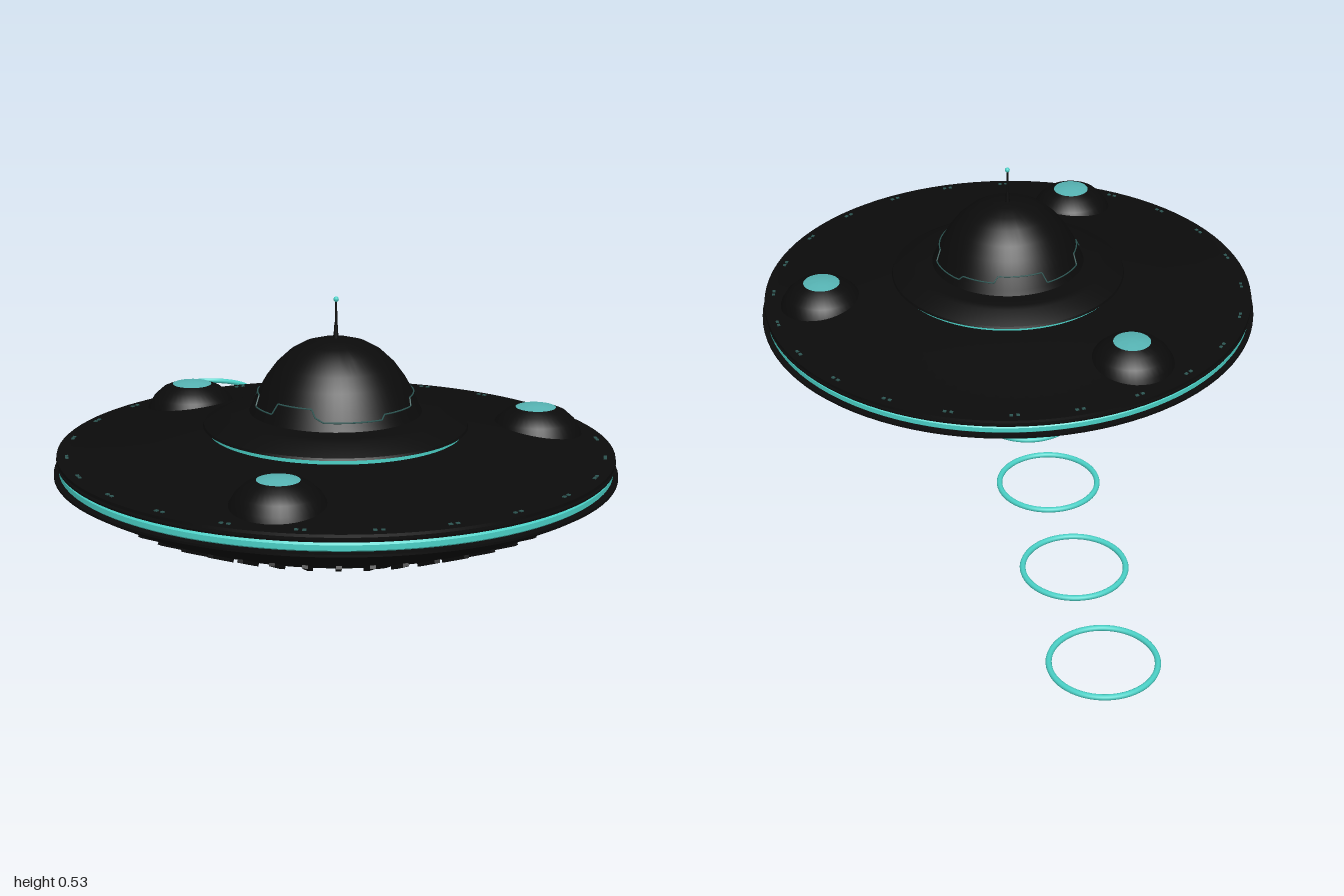
import * as THREE from 'three';
import { toCreasedNormals } from 'three/addons/utils/BufferGeometryUtils.js';

const mat = (name, color, side = THREE.FrontSide) => {
  const m = new THREE.MeshStandardMaterial({ color, side });
  m.name = name;
  return m;
};

export function createModel() {
  const black = mat('hull black', 0x0b0b0b, THREE.DoubleSide);
  const teal = mat('glow teal', 0x4ad0c6, THREE.DoubleSide);
  const lens = mat('lens teal', 0x55b2b2, THREE.DoubleSide);
  const dim = mat('dim teal', 0x2c5552);

  const model = new THREE.Group();
  const saucer = new THREE.Group();
  saucer.name = 'saucer';
  saucer.position.z = 0.385;
  model.add(saucer);

  const add = (name, geo, material, parent = saucer, x = 0, y = 0, z = 0) => {
    const mesh = new THREE.Mesh(geo, material);
    mesh.name = name;
    mesh.position.set(x, y, z);
    parent.add(mesh);
    return mesh;
  };
  const lathe = (points, segments = 96) => toCreasedNormals(
    new THREE.LatheGeometry(points.map(p => new THREE.Vector2(...p)), segments), 0.5);
  // places a group at an angle around the saucer, local +x pointing outward
  const around = (name, count, start, build) => {
    for (let i = 0; i < count; i++) {
      const arm = new THREE.Group();
      arm.name = name;
      arm.rotation.y = start + i / count * Math.PI * 2;
      saucer.add(arm);
      build(arm);
    }
  };

  // disc-shaped hull
  add('lowerHull', lathe([[0, 0.036], [0.2, 0.036], [0.31, 0.043], [0.425, 0.058],
    [0.53, 0.1], [0.6, 0.136], [0.617, 0.146], [0.617, 0.151], [0.6, 0.153]]), black);
  add('rimBand', lathe([[0.6, 0.151], [0.606, 0.156], [0.606, 0.167], [0.6, 0.173]]), teal);
  add('upperHull', lathe([[0.598, 0.17], [0.61, 0.174], [0.611, 0.178], [0.598, 0.18], [0.598, 0.182],
    [0.611, 0.184], [0.61, 0.19], [0.58, 0.191], [0.4, 0.216], [0.3, 0.233], [0, 0.236]]), black);

  // collar below the dome
  add('collar', lathe([[0.27, 0.228], [0.27, 0.243], [0.29, 0.245], [0.288, 0.25],
    [0.245, 0.272], [0.23, 0.276], [0.18, 0.278]]), black);
  add('collarBand', lathe([[0.272, 0.232], [0.279, 0.234], [0.279, 0.242], [0.272, 0.244]]), teal);

  // central dome
  const profile = [[0.19, 0.275], [0.183, 0.29], [0.17, 0.32], [0.152, 0.352], [0.13, 0.382],
    [0.1, 0.41], [0.07, 0.427], [0.035, 0.437], [0, 0.44]];
  add('dome', lathe(profile, 64), black);

  // stepped seam around the dome: angle in degrees from the front, height
  const steps = [[-62, 0.321], [-33, 0.321], [-30, 0.305], [-24, 0.296], [17, 0.296], [20, 0.306],
    [50, 0.306], [54, 0.322], [92, 0.322], [95, 0.296], [130, 0.296], [133, 0.306],
    [160, 0.306], [163, 0.321], [200, 0.321], [203, 0.296], [240, 0.296], [243, 0.321],
    [268, 0.321], [271, 0.298], [295, 0.298]];
  const seam = new THREE.CurvePath();
  const onDome = (deg, y) => {
    const a = deg * Math.PI / 180, r = 0.184 - (y - 0.29) * 0.43;
    return new THREE.Vector3(Math.sin(a) * r, y, Math.cos(a) * r);
  };
  steps.forEach(([a0, y0], i) => {
    const [a1, y1] = i + 1 < steps.length ? steps[i + 1] : [steps[0][0] + 360, steps[0][1]];
    const n = Math.ceil((a1 - a0) / 6);
    for (let k = 0; k < n; k++) {
      const at = t => onDome(a0 + (a1 - a0) * t, y0 + (y1 - y0) * t);
      seam.add(new THREE.LineCurve3(at(k / n), at((k + 1) / n)));
    }
  });
  add('domeSeam', new THREE.TubeGeometry(seam, 360, 0.0018, 5), dim);

  // antenna
  add('antennaBase', new THREE.CylinderGeometry(0.004, 0.006, 0.03, 12), black, saucer, 0, 0.452, 0);
  add('antennaRod', new THREE.CylinderGeometry(0.0025, 0.003, 0.07, 8), black, saucer, 0, 0.487, 0);
  add('antennaTip', new THREE.SphereGeometry(0.006, 12, 8), teal, saucer, 0, 0.525, 0);

  // three bubble pods with glowing caps
  around('pod', 3, 0, arm => {
    add('podDome', lathe([[0.106, 0.185], [0.1, 0.205], [0.088, 0.225], [0.068, 0.243],
      [0.045, 0.253]], 40), black, arm, 0.467);
    add('podCap', lathe([[0.045, 0.253], [0.024, 0.258], [0, 0.26]], 40), lens, arm, 0.467);
  });

  // small lights on the upper rim
  around('rimLight', 24, Math.PI / 24, arm => {
    for (const s of [-1, 1]) {
      add('lightPlate', new THREE.BoxGeometry(0.007, 0.004, 0.008), dim, arm, 0.588, 0.191, s * 0.008);
    }
  });

  // radial ribs under the hull
  around('rib', 48, 0, arm => {
    const rib = add('ribBlade', new THREE.BoxGeometry(0.085, 0.012, 0.012), black, arm, 0.475, 0.077, 0);
    rib.rotation.z = 0.38;
  });

  // six landing pads with slotted glowing undersides
  around('landingPad', 6, Math.PI / 6, arm => {
    add('padBody', lathe([[0, 0.025], [0.043, 0.025], [0.05, 0.032], [0.056, 0.05]], 32), black, arm, 0.3);
    for (let i = -2; i <= 2; i++) {
      add('padSlot', new THREE.BoxGeometry(0.006, 0.004, 0.056 - Math.abs(i) * 0.012),
        dim, arm, 0.3 + i * 0.012, 0.0245, 0);
    }
  });

  // emitter in the middle of the underside
  add('emitterRim', lathe([[0.085, 0.031], [0.1, 0.031], [0.108, 0.038]], 48), black);
  add('emitterFace', lathe([[0, 0.033], [0.085, 0.033]], 48), black);

  // trail of hovering rings
  for (const z of [0.385, 0.085, -0.21, -0.545, -0.88]) {
    add('trailRing', new THREE.TorusGeometry(0.1135, 0.0065, 10, 64).rotateX(Math.PI / 2),
      teal, model, 0, 0.0065, z);
  }
  return model;
}
